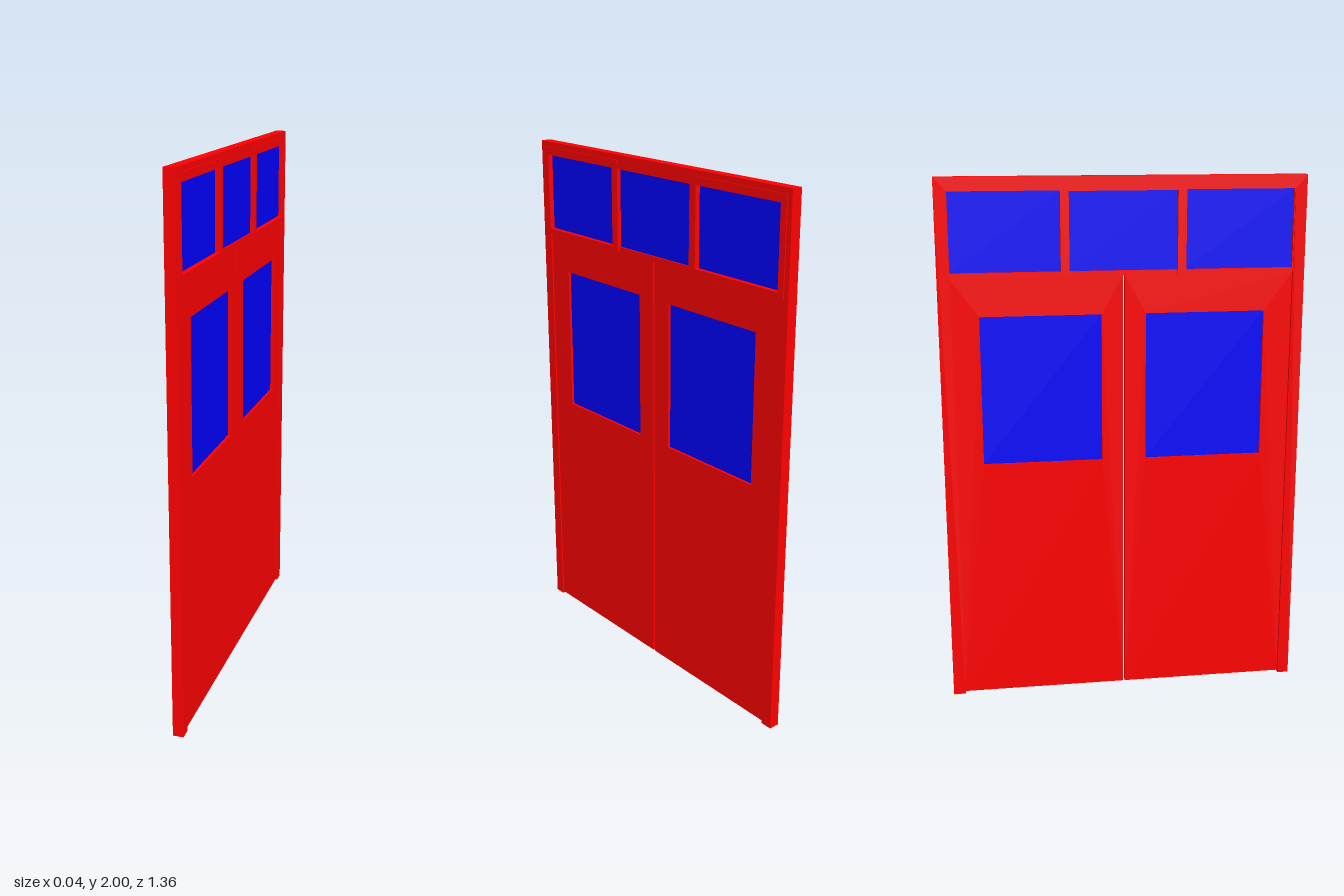
import * as THREE from 'three';

const red = new THREE.MeshStandardMaterial({ color: 0xff0000 });
const blue = new THREE.MeshStandardMaterial({ color: 0x0000ff });
const yellow = new THREE.MeshStandardMaterial({ color: 0xffff00 });

// Slab lying in the z-y plane between x0 and x1; rectangles are [z0, z1, y0, y1]
function slab(name, outline, holes, x0, x1) {
  const shape = new THREE.Shape(outline.map(([z, y]) => new THREE.Vector2(z, y)));
  for (const h of holes) {
    shape.holes.push(new THREE.Path(rect(h).map(([z, y]) => new THREE.Vector2(z, y))));
  }
  const geo = new THREE.ExtrudeGeometry(shape, { depth: x1 - x0, bevelEnabled: false });
  geo.rotateY(-Math.PI / 2).translate(x1, 0, 0);
  const mesh = new THREE.Mesh(geo, red);
  mesh.name = name;
  return mesh;
}

function rect([z0, z1, y0, y1]) {
  return [[z0, y0], [z1, y0], [z1, y1], [z0, y1]];
}

function block(name, [z0, z1, y0, y1], x0, x1, material) {
  const mesh = new THREE.Mesh(new THREE.BoxGeometry(x1 - x0, y1 - y0, z1 - z0), material);
  mesh.position.set((x0 + x1) / 2, (y0 + y1) / 2, (z0 + z1) / 2);
  mesh.name = name;
  return mesh;
}

export function createModel() {
  const model = new THREE.Group();
  model.name = 'doubleDoor';

  // Outer frame: two jambs and a header, with a yellow foot under one jamb
  model.add(slab('doorFrame', [
    [-0.68, 0.001], [-0.633, 0.001], [-0.633, 1.95], [0.637, 1.95],
    [0.637, 0], [0.68, 0], [0.68, 2], [-0.68, 2],
  ], [], -0.022, 0.018));
  model.add(block('jambFoot', [-0.68, -0.633, 0, 0.001], -0.022, 0.018, yellow));

  for (const side of [1, -1]) {
    const mirror = ([a, b, y0, y1]) => (side > 0 ? [a, b, y0, y1] : [-b, -a, y0, y1]);
    const label = side > 0 ? 'left' : 'right';

    // Door leaf with a window
    const pane = mirror([0.083, 0.532, 0.94, 1.5]);
    model.add(slab(label + 'Door', rect(mirror([0.004, 0.636, 0.007, 1.642])), [pane], -0.013, 0.013));
    model.add(block(label + 'DoorGlass', pane, -0.003, 0.003, blue));

    // Raised side light above the door
    const light = mirror([0.232, 0.634, 1.66, 1.95]);
    model.add(slab(label + 'TransomFrame', rect(mirror([0.2, 0.66, 1.642, 1.98])), [light], -0.018, 0.022));
    model.add(block(label + 'TransomGlass', light, -0.003, 0.003, blue));
  }

  // Middle light sits between the side frames on slim rails
  model.add(block('middleRail', [-0.2, 0.2, 1.642, 1.66], -0.013, 0.013, red));
  model.add(block('middleHeadRail', [-0.2, 0.2, 1.947, 1.96], -0.013, 0.013, red));
  model.add(block('middleTransomGlass', [-0.2, 0.2, 1.66, 1.947], -0.003, 0.006, blue));
  return model;
}
